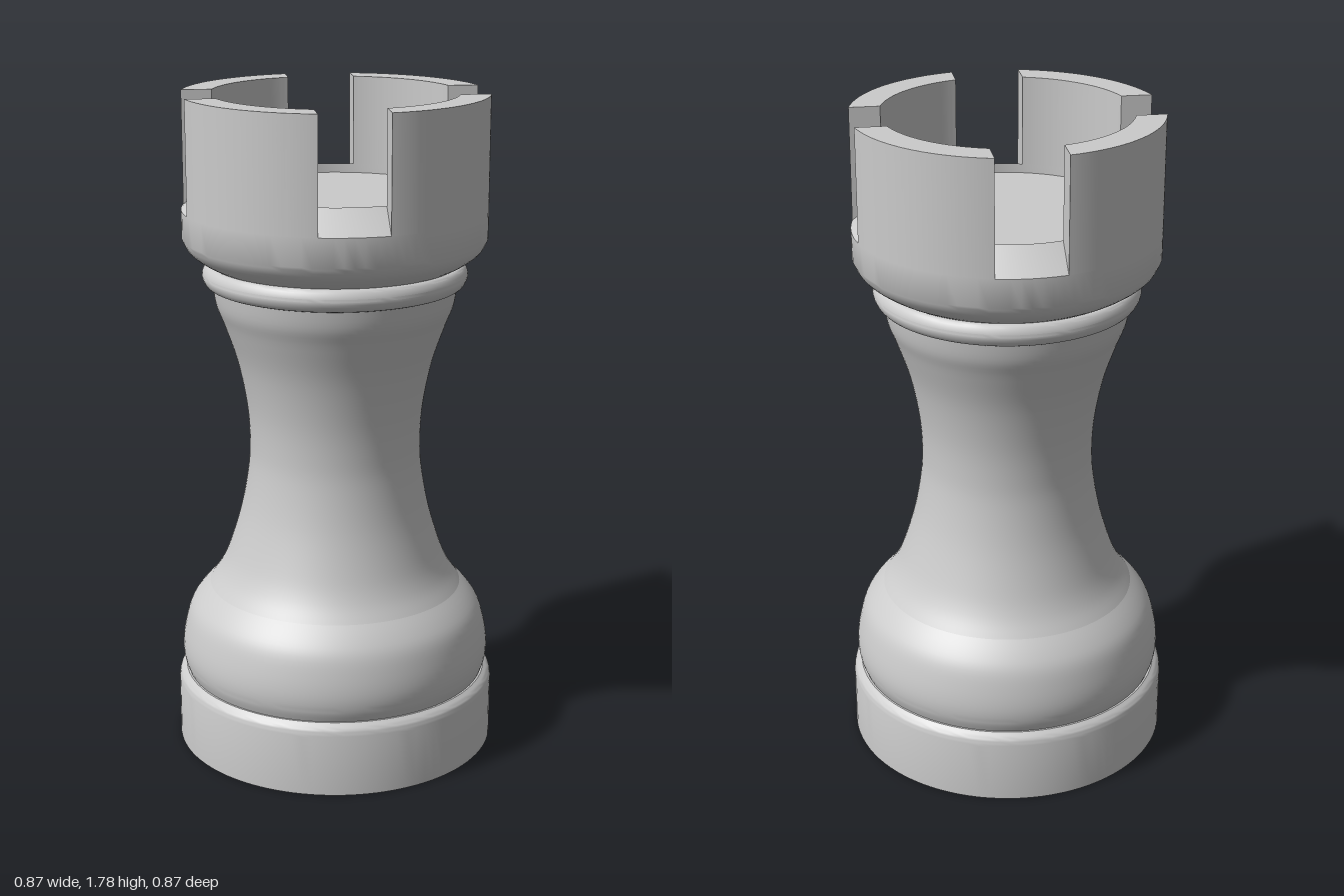
import * as THREE from 'three';
import { toCreasedNormals } from 'three/addons/utils/BufferGeometryUtils.js';

const SEGMENTS = 96;
const OUTER = 0.403, INNER = 0.325, GAP = 0.09; // crown radii and half notch width
const SILL = 1.485, TOP = 1.785;

export function createModel() {
  const group = new THREE.Group();
  const material = new THREE.MeshStandardMaterial({ color: 0xcccccc });

  const add = (name, geometry, crease = 0.5) => {
    const mesh = new THREE.Mesh(toCreasedNormals(geometry, crease), material);
    mesh.name = name;
    group.add(mesh);
    return mesh;
  };
  const points = (list) => list.map(([r, y]) => new THREE.Vector2(r, y));
  const smooth = (list, n) => new THREE.SplineCurve(points(list)).getPoints(n);
  const lathe = (profile) => new THREE.LatheGeometry(profile, SEGMENTS);

  // Base disc with a rounded upper edge
  add('base', lathe([
    ...points([[0, 0], [0.436, 0]]),
    ...smooth([[0.436, 0.165], [0.431, 0.185], [0.415, 0.2]], 8),
    ...points([[0, 0.2]]),
  ]));

  // Swollen foot above the base
  add('foot', lathe([
    ...points([[0, 0.2]]),
    ...smooth([[0.41, 0.2], [0.42, 0.23], [0.423, 0.27], [0.416, 0.32],
      [0.4, 0.375], [0.373, 0.415], [0.335, 0.455]], 24),
    ...points([[0, 0.455]]),
  ]));

  // Waisted body
  add('body', lathe(smooth([[0.345, 0.445], [0.315, 0.49], [0.289, 0.55], [0.256, 0.66],
    [0.236, 0.77], [0.231, 0.85], [0.237, 0.95], [0.26, 1.07], [0.295, 1.175],
    [0.316, 1.23], [0.325, 1.285]], 48)));

  // Collar ring
  add('collar', lathe([
    ...points([[0, 1.28]]),
    ...smooth([[0.325, 1.28], [0.342, 1.287], [0.352, 1.311], [0.342, 1.336], [0.325, 1.343]], 14),
    ...points([[0, 1.343]]),
  ]));

  // Cup with the sloping notch sills and the sunken floor
  add('cup', lathe([
    ...points([[0, 1.34]]),
    ...smooth([[0.328, 1.34], [0.36, 1.358], [0.388, 1.381], [OUTER, 1.41]], 10),
    ...points([[OUTER, SILL], [INNER, 1.545], [INNER, 1.52], [0, 1.52]]),
  ]));

  // Four battlements, separated by parallel-sided notches
  const a = Math.asin(GAP / OUTER), b = Math.asin(GAP / INNER);
  const shape = new THREE.Shape();
  shape.absarc(0, 0, OUTER, a, Math.PI / 2 - a, false);
  shape.absarc(0, 0, INNER, Math.PI / 2 - b, b, true);
  shape.closePath();
  const block = new THREE.ExtrudeGeometry(shape, {
    depth: TOP - SILL, bevelEnabled: false, curveSegments: 24,
  });
  block.rotateX(-Math.PI / 2).translate(0, SILL, 0);
  for (let i = 0; i < 4; i++) {
    add(`battlement${i + 1}`, block).rotation.y = (i * Math.PI) / 2;
  }

  return group;
}
